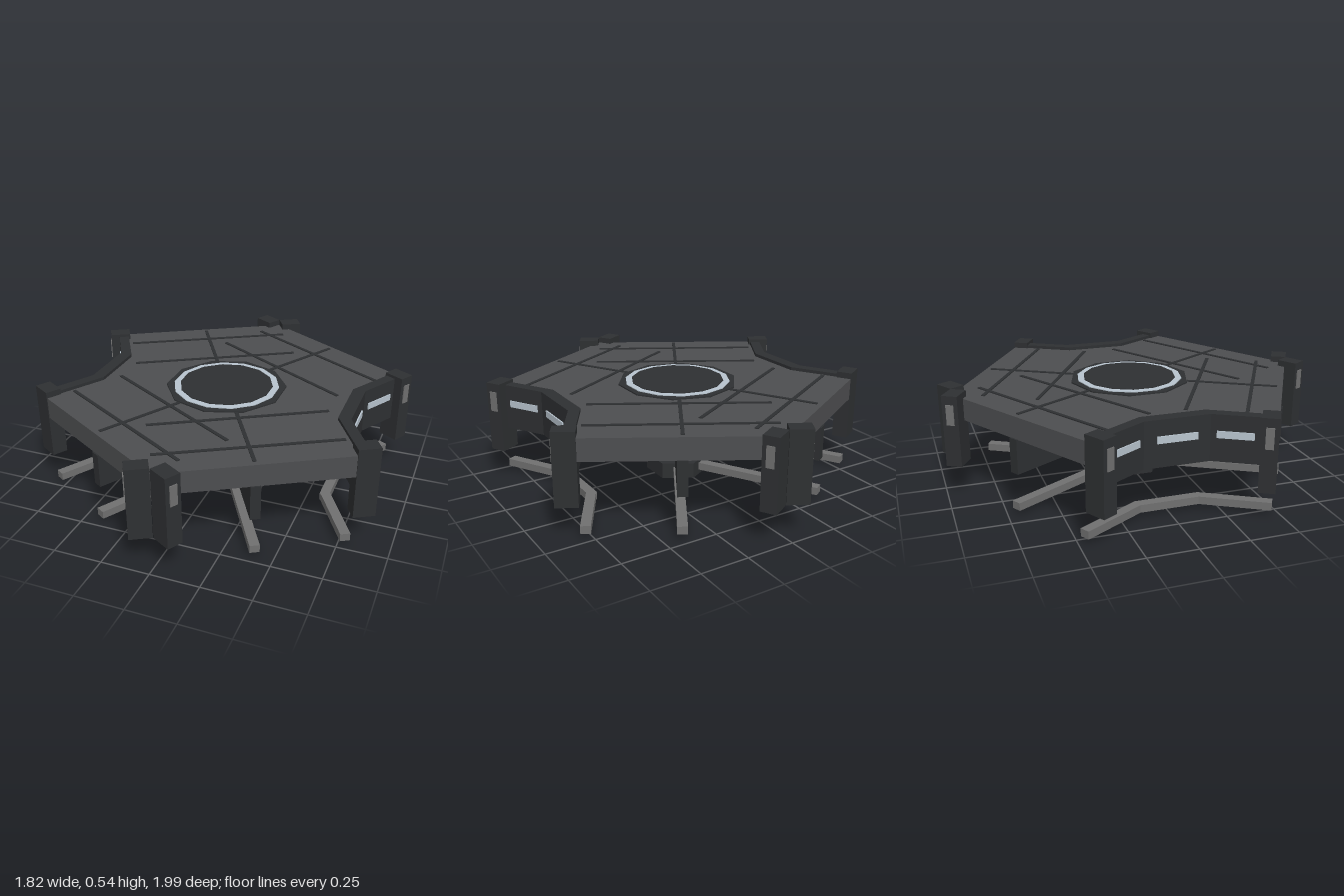
import * as THREE from 'three';

const mat = (color) => new THREE.MeshStandardMaterial({ color });
const flat = (color) => new THREE.MeshStandardMaterial({ color, flatShading: true });

export function createModel() {
  const root = new THREE.Group();
  const deckMat = flat(0x4d4e50), dark = flat(0x2e3032), beamMat = flat(0x2e3032);
  const grey = flat(0x707070), light = flat(0xb8c4ce), shaftMat = mat(0x777777);

  const add = (name, geometry, material, x = 0, y = 0, z = 0) => {
    const m = new THREE.Mesh(geometry, material);
    m.name = name;
    m.position.set(x, y, z);
    root.add(m);
    return m;
  };
  // Box from y0 to y1 whose length runs along the ground direction at the given angle (x towards z)
  const bar = (name, length, width, y0, y1, x, z, degrees, material) => {
    const m = add(name, new THREE.BoxGeometry(length, y1 - y0, width), material, x, (y0 + y1) / 2, z);
    m.rotation.y = -THREE.MathUtils.degToRad(degrees);
    return m;
  };
  // Vertical prism from y0 to y1 over a plan of [x, z] points
  const prism = (name, plan, y0, y1, material) => {
    const shape = new THREE.Shape(plan.map(([x, z]) => new THREE.Vector2(x, -z)));
    const g = new THREE.ExtrudeGeometry(shape, { depth: y1 - y0, bevelEnabled: false });
    g.rotateX(-Math.PI / 2);
    return add(name, g, material, 0, y0, 0);
  };
  const disc = (name, radius, sides, y0, y1, material) =>
    add(name, new THREE.CylinderGeometry(radius, radius, y1 - y0, sides), material, 0, (y0 + y1) / 2, 0);

  // Hexagonal deck with a notch in each side
  prism('deck', [
    [0, 0.935], [0.82, 0.46], [0.81, 0.44], [0.66, 0.165], [0.66, -0.165], [0.81, -0.44], [0.82, -0.46],
    [0, -0.935], [-0.82, -0.46], [-0.81, -0.44], [-0.66, -0.165], [-0.66, 0.165], [-0.81, 0.44], [-0.82, 0.46],
  ], 0.39, 0.503, deckMat);

  // Round hatch with a light ring
  disc('hatchRim', 0.318, 10, 0.49, 0.51, dark);
  disc('hatchLightRing', 0.28, 14, 0.49, 0.514, light);
  disc('hatchCentre', 0.246, 14, 0.49, 0.518, dark);

  // Strips on the deck, repeated in four quadrants
  const strips = [
    [-0.725, -0.34, 0.07, -0.79],
    [-0.58, -0.09, 0.21, -0.545],
    [-0.39, -0.677, -0.155, -0.27],
  ];
  for (const sx of [1, -1]) for (const sz of [1, -1]) {
    for (const [x0, z0, x1, z1] of strips) {
      const dx = (x1 - x0) * sx, dz = (z1 - z0) * sz;
      bar('deckStrip', Math.hypot(dx, dz), 0.018, 0.49, 0.508,
        sx * (x0 + x1) / 2, sz * (z0 + z1) / 2, Math.atan2(dz, dx) * 180 / Math.PI, dark);
    }
  }

  // Corner posts, each with a small panel on its outer end
  const post = (x, z, degrees) => {
    const a = THREE.MathUtils.degToRad(degrees);
    bar('post', 0.112, 0.082, 0.165, 0.535, x, z, degrees, dark);
    bar('postPanel', 0.01, 0.04, 0.385, 0.49,
      x + Math.cos(a) * 0.056, z + Math.sin(a) * 0.056, degrees, grey);
  };

  for (const sx of [1, -1]) {
    const facing = (d) => (sx > 0 ? d : 180 - d);
    for (const sz of [1, -1]) {
      post(sx * 0.07, sz * 0.932, facing(sz * 30));
      post(sx * 0.84, sz * 0.405, facing(-sz * 30));
      // Slanted window and lower guard bar end
      bar('slantedWindow', 0.175, 0.012, 0.405, 0.44, sx * 0.768, sz * 0.265, facing(sz * 60), light);
      bar('guardBarEnd', 0.36, 0.05, 0.025, 0.065, sx * 0.695, sz * 0.313, facing(sz * 60), grey);
    }
    // Bent wall around the notch
    prism('notchWall', [
      [0.71, 0.164], [0.84, 0.39], [0.785, 0.405], [0.645, 0.164],
      [0.645, -0.164], [0.785, -0.405], [0.84, -0.39], [0.71, -0.164],
    ].map(([x, z]) => [sx * x, z]), 0.285, 0.52, dark);
    bar('middleWindow', 0.2, 0.012, 0.405, 0.44, sx * 0.711, 0, 90, light);
    bar('guardBarMiddle', 0.34, 0.05, 0.025, 0.065, sx * 0.605, 0, 90, grey);
  }

  // Crossed ribs under the deck and matching lower arms
  for (const d of [60, -60]) {
    bar('underRib', 1.634, 0.05, 0.215, 0.392, 0, 0, d, beamMat);
    bar('lowerArm', 1.634, 0.05, 0.025, 0.065, 0, 0, d, grey);
  }

  // Central shaft and hub
  disc('shaft', 0.11, 6, 0.04, 0.4, shaftMat);
  disc('hub', 0.168, 6, 0, 0.085, dark);

  return root;
}
